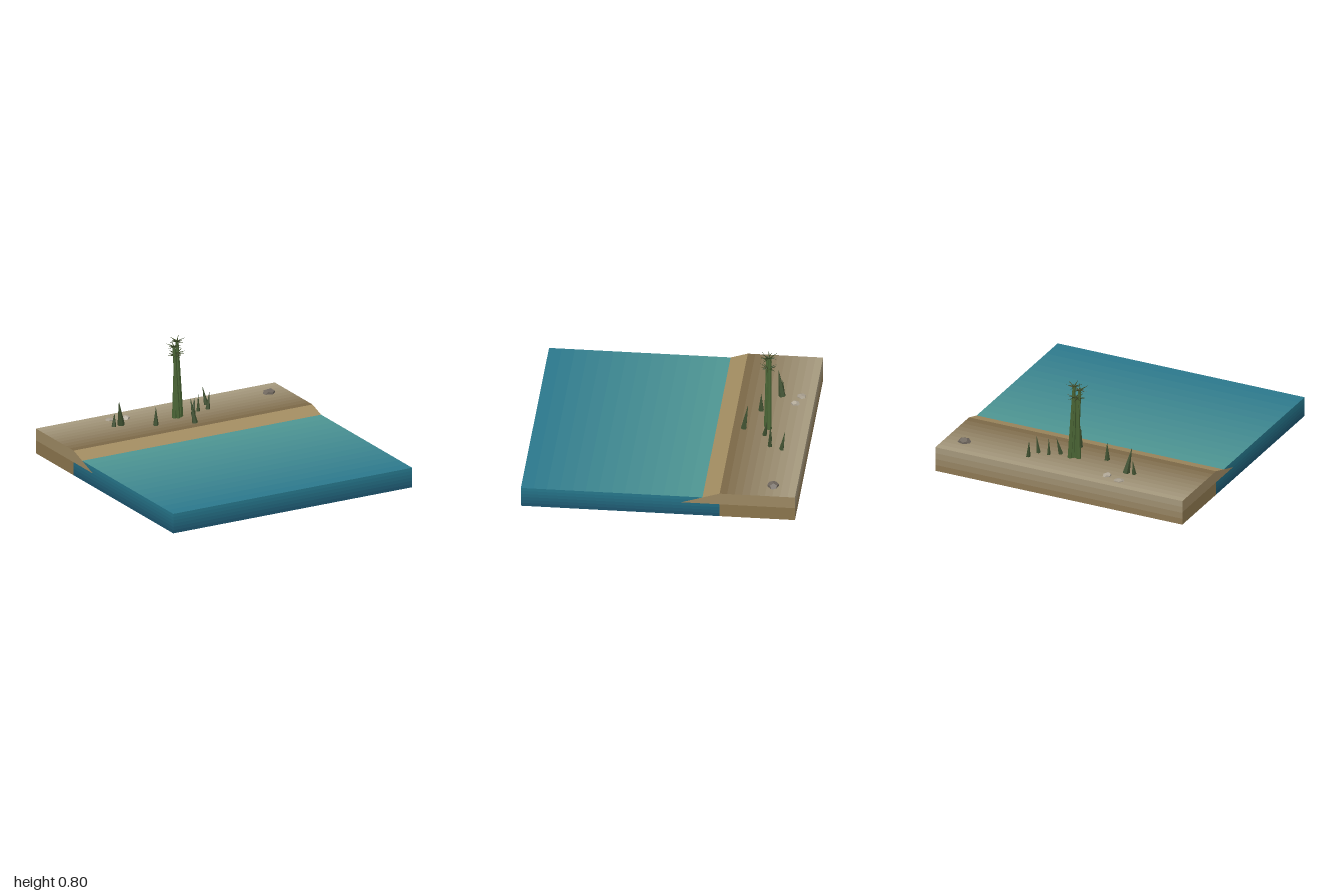
import * as THREE from 'three';

const GROUND = 0.19, WATER = 0.15;
const UP = new THREE.Vector3(0, 1, 0);

const mat = (color) => new THREE.MeshStandardMaterial({ color, flatShading: true });
const mix = (a, b, t) => new THREE.Color(a).lerp(new THREE.Color(b), t);

function add(parent, name, geometry, material) {
  const mesh = new THREE.Mesh(geometry, material);
  mesh.name = name;
  parent.add(mesh);
  return mesh;
}

// Full-width face between two [z, y] points, cut into strips that shade from one colour to another
function face(parent, name, a, b, colorA, colorB = colorA, n = 1) {
  const dz = (b[0] - a[0]) / n, dy = (b[1] - a[1]) / n;
  for (let i = 0; i < n; i++) {
    const strip = add(parent, name, new THREE.PlaneGeometry(2, Math.hypot(dz, dy)),
      mat(mix(colorA, colorB, (i + 0.5) / n)));
    strip.position.set(0, a[1] + dy * (i + 0.5), a[0] + dz * (i + 0.5));
    strip.rotation.x = Math.atan2(dz, dy);
  }
}

// The same [z, y] outline on both ends of the slab
function ends(parent, name, points, color) {
  for (const side of [1, -1]) {
    const shape = new THREE.Shape(points.map(([z, y]) => new THREE.Vector2(-side * z, y)));
    const cap = add(parent, name, new THREE.ShapeGeometry(shape), mat(color));
    cap.rotation.y = side * Math.PI / 2;
    cap.position.x = side;
  }
}

// Tapered stem or leaf from one point to another
function spear(parent, name, from, to, r0, r1, sides, material) {
  const dir = to.clone().sub(from);
  const mesh = add(parent, name, new THREE.CylinderGeometry(r1, r0, dir.length(), sides), material);
  mesh.position.copy(from).addScaledVector(dir, 0.5);
  mesh.quaternion.setFromUnitVectors(UP, dir.normalize());
}

function makeWater() {
  const g = new THREE.Group();
  g.name = 'water';
  const deep = 0x1b4f69, mid = 0x26788c;
  face(g, 'waterFront', [1, 0], [1, WATER], deep, mid, 6);
  face(g, 'waterSurface', [1, WATER], [-0.325, WATER], 0x29768b, 0x4f9692, 14);
  face(g, 'waterUnderside', [-1, 0], [1, 0], 0x1b4f69);
  // Layers on the ends, stopping at the bank
  const shore = (y) => -0.17 - (y - 0.1) * 3.11;
  for (let i = 0; i < 6; i++) {
    const y0 = i * 0.025, y1 = y0 + 0.025;
    const [z0, z1] = i < 4 ? [-0.45, -0.45] : [shore(y0), shore(y1)];
    ends(g, 'waterEnd', [[1, y0], [1, y1], [z1, y1], [z0, y0]], mix(deep, mid, (i + 0.5) / 6));
  }
  return g;
}

function makeBank() {
  const g = new THREE.Group();
  g.name = 'bank';
  face(g, 'beachSlope', [-0.17, 0.1], [-0.45, GROUND], 0xa18b60);
  face(g, 'bankTop', [-0.45, GROUND], [-1, GROUND], 0x786442, 0xa79b80, 10);
  face(g, 'bankBack', [-1, GROUND], [-1, 0], 0xa79b80, 0x88714a, 4);
  ends(g, 'bankUpperEnd', [[-0.17, 0.1], [-0.45, GROUND], [-1, GROUND], [-1, 0.1]], 0x9b8761);
  ends(g, 'bankLowerEnd', [[-0.45, 0], [-0.45, 0.1], [-1, 0.1], [-1, 0]], 0x8a744c);
  return g;
}

// Three tall stalks, each with a crown of thin pointed leaves
function makeTallPlant() {
  const g = new THREE.Group();
  g.name = 'tallPlant';
  const stem = mat(0x4a6535), leaf = mat(0x3c4a26);
  const stalks = [ // base x, z and top x, y, z
    [-0.012, -0.7, -0.004, 0.67, -0.7],
    [0.012, -0.69, -0.018, 0.74, -0.695],
    [0.05, -0.715, 0.018, 0.77, -0.715],
    [0.035, -0.7, 0.015, 0.68, -0.71],
  ];
  stalks.forEach(([bx, bz, tx, ty, tz], s) => {
    const top = new THREE.Vector3(tx, ty, tz);
    spear(g, 'stalk', new THREE.Vector3(bx, GROUND, bz), top, 0.018, 0.011, 6, stem);
    for (let i = 0; i < 10; i++) {
      const a = i / 10 * Math.PI * 2 + s * 0.5, len = 0.055 + 0.01 * (i % 2);
      const tip = new THREE.Vector3(Math.cos(a) * len, i % 2 ? 0.028 : -0.006, Math.sin(a) * len);
      spear(g, 'crownLeaf', top, tip.add(top), 0.006, 0, 4, leaf);
    }
  });
  return g;
}

// Short pointed shoots around the tall plant
function makeShoots() {
  const g = new THREE.Group();
  g.name = 'shoots';
  const green = mat(0x3f5030);
  const shoots = [ // base x, z and tip x, y, z
    [-0.488, -0.755, -0.48, 0.295, -0.76, 0.018],
    [-0.425, -0.76, -0.46, 0.39, -0.73, 0.028],
    [-0.208, -0.63, -0.208, 0.33, -0.63, 0.021],
    [0.062, -0.53, 0.04, 0.38, -0.56, 0.022],
    [0.138, -0.69, 0.162, 0.32, -0.71, 0.018],
    [0.21, -0.74, 0.21, 0.32, -0.74, 0.014],
    [0.292, -0.745, 0.306, 0.32, -0.745, 0.017],
    [0.33, -0.833, 0.312, 0.33, -0.857, 0.018],
  ];
  for (const [bx, bz, tx, ty, tz, r] of shoots)
    spear(g, 'shoot', new THREE.Vector3(bx, GROUND, bz), new THREE.Vector3(tx, ty, tz), r, 0, 5, green);
  return g;
}

// Squashed low-poly stones
function makeRocks() {
  const g = new THREE.Group();
  g.name = 'rocks';
  const rocks = [ // x, z, radius, height above ground, turn, colour
    [-0.437, -0.9, 0.04, 0.012, 0.4, 0xa59c8c],
    [-0.325, -0.865, 0.035, 0.026, 1.1, 0xb0a797],
    [0.852, -0.825, 0.05, 0.034, 0.2, 0x6f675e],
  ];
  for (const [x, z, r, h, turn, color] of rocks) {
    const rock = add(g, 'rock', new THREE.DodecahedronGeometry(r).scale(1, h / r, 0.9), mat(color));
    rock.position.set(x, GROUND, z);
    rock.rotation.y = turn;
  }
  return g;
}

export function createModel() {
  const model = new THREE.Group();
  model.name = 'shoreline';
  model.add(makeWater(), makeBank(), makeTallPlant(), makeShoots(), makeRocks());
  return model;
}
